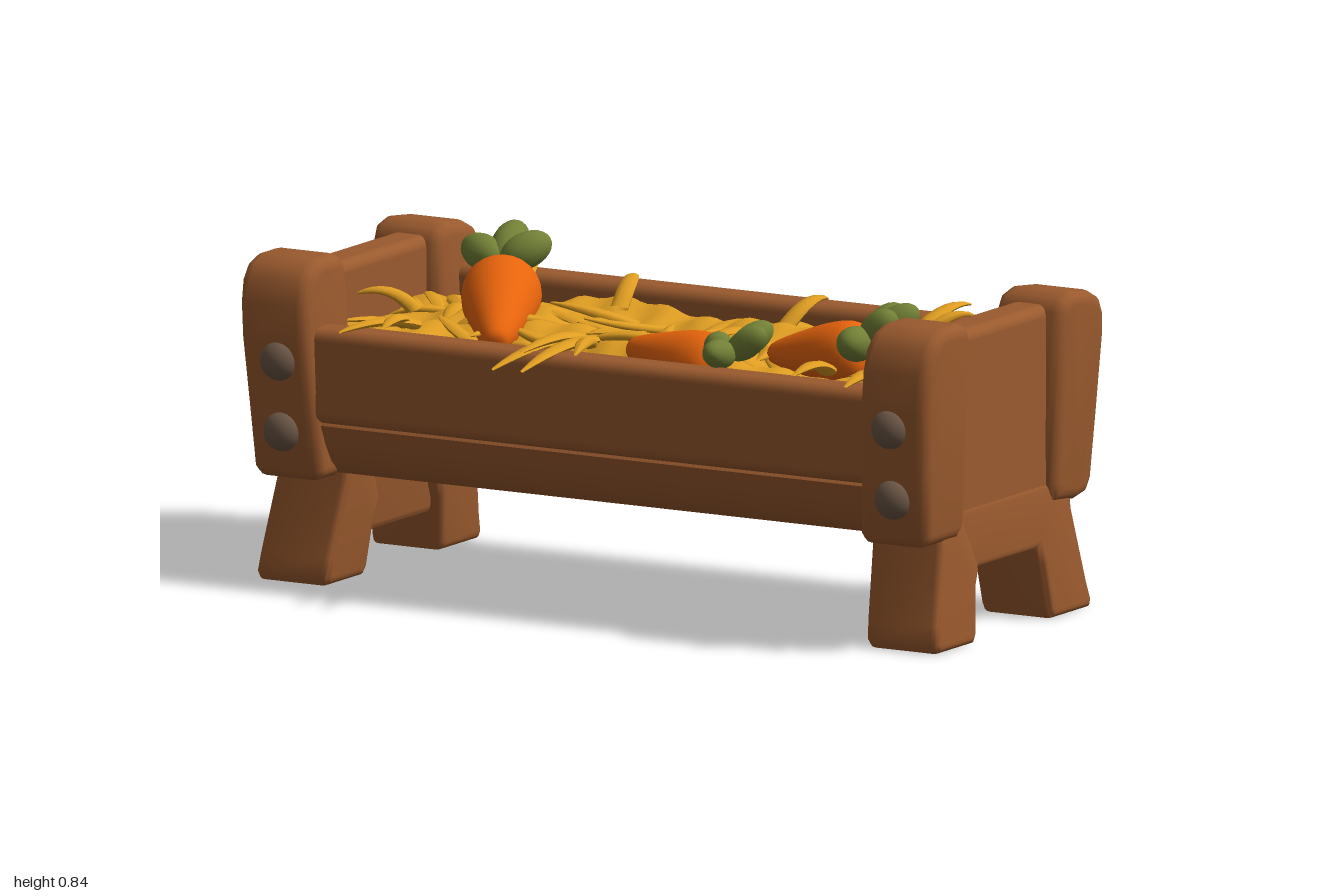
import * as THREE from 'three';
import { mergeGeometries, toCreasedNormals } from 'three/addons/utils/BufferGeometryUtils.js';
import { RoundedBoxGeometry } from 'three/addons/geometries/RoundedBoxGeometry.js';

const mat = (name, color, side = THREE.FrontSide) => {
  const m = new THREE.MeshStandardMaterial({ color, side });
  m.name = name;
  return m;
};
const V = (a) => new THREE.Vector3(...a);

export function createModel() {
  const wood = mat('wood', 0x9a5a2e);
  const straw = mat('straw', 0xdf9d22, THREE.DoubleSide);
  const carrotOrange = mat('carrot orange', 0xe8640c);
  const leafGreen = mat('leaf green', 0x728036);
  const boltMetal = mat('bolt metal', 0x6b5646);

  const root = new THREE.Group();
  root.name = 'feedingTrough';
  const add = (name, geo, material, parent = root) => {
    const m = new THREE.Mesh(geo, material);
    m.name = name;
    parent.add(m);
    return m;
  };

  // Small seeded generator
  let seed = 7;
  const rnd = (a, b) => {
    seed = (seed * 16807) % 2147483647;
    return a + (b - a) * (seed / 2147483647);
  };

  // Rounded slab given by its limits on each axis
  const slab = (name, [x0, x1], [y0, y1], [z0, z1], r = 0.03) => {
    const g = new RoundedBoxGeometry(x1 - x0, y1 - y0, z1 - z0, 3, r);
    return add(name, g.translate((x0 + x1) / 2, (y0 + y1) / 2, (z0 + z1) / 2), wood);
  };

  // Bevelled side profile of [z, y] points, extruded along x; lean shifts x with height
  const profile = (pts, x0, x1, bevel, lean = () => 0) => {
    const shape = new THREE.Shape(pts.map(([z, y]) => new THREE.Vector2(-z, y)));
    const g = new THREE.ExtrudeGeometry(shape, {
      depth: x1 - x0 - 2 * bevel, bevelEnabled: true, bevelThickness: bevel,
      bevelSize: bevel, bevelOffset: -bevel, bevelSegments: 4, steps: 1,
    });
    g.rotateY(Math.PI / 2).translate(x0 + bevel, 0, 0);
    const p = g.attributes.position;
    for (let i = 0; i < p.count; i++) p.setX(i, p.getX(i) + lean(p.getY(i)));
    return toCreasedNormals(g, 0.9);
  };

  // Corner posts, splayed legs, crossbars, end boards and bolts
  const frontPost = [[0.215, 0.27], [0.36, 0.27], [0.38, 0.29], [0.395, 0.45], [0.412, 0.62], [0.41, 0.71],
    [0.395, 0.77], [0.365, 0.805], [0.32, 0.82], [0.24, 0.82], [0.212, 0.81], [0.198, 0.785], [0.19, 0.55], [0.182, 0.35], [0.19, 0.29]];
  const backPost = [[-0.25, 0.285], [-0.234, 0.33], [-0.237, 0.765], [-0.255, 0.8], [-0.3, 0.812], [-0.385, 0.802],
    [-0.43, 0.78], [-0.452, 0.74], [-0.456, 0.68], [-0.444, 0.5], [-0.43, 0.32], [-0.41, 0.285], [-0.36, 0.275]];
  const frontLeg = [[0.33, 0], [0.345, 0.02], [0.335, 0.07], [0.285, 0.25], [0.28, 0.34], [0.18, 0.34], [0.11, 0.2],
    [0.11, 0.175], [0.127, 0.14], [0.145, 0.02], [0.16, 0]];
  const backLeg = [[-0.4, 0], [-0.22, 0], [-0.21, 0.02], [-0.192, 0.14], [-0.175, 0.175], [-0.175, 0.2], [-0.25, 0.34],
    [-0.35, 0.34], [-0.35, 0.26], [-0.395, 0.07], [-0.41, 0.02]];
  for (const s of [1, -1]) {
    const side = s > 0 ? 'left' : 'right';
    const span = (a, b) => (s > 0 ? [a, b] : [-b, -a]);
    const postLean = (y) => s * (y - 0.55) * 0.055;
    const legLean = (y) => -s * y * 0.09;
    add(side + 'FrontPost', profile(frontPost, ...span(0.787, 0.987), 0.032, postLean), wood);
    add(side + 'BackPost', profile(backPost, ...span(0.787, 0.987), 0.032, postLean), wood);
    add(side + 'FrontLeg', profile(frontLeg, ...span(0.776, 0.985), 0.02, legLean), wood);
    add(side + 'BackLeg', profile(backLeg, ...span(0.776, 0.985), 0.02, legLean), wood);
    const low = s > 0 ? 0.18 : 0.095;
    const bar = [[0.18, low], [0.22, 0.25], [0.22, 0.34], [-0.28, 0.34], [-0.28, 0.25], [-0.24, low]];
    add(side + 'Crossbar', profile(bar.reverse(), ...span(0.81, 0.984), 0.02, legLean), wood);
    slab(side + 'EndBoard', span(0.835, 0.95), [0.3, 0.783], [-0.28, 0.25]);

    for (const [y, zf, zb] of [[0.57, 0.4, -0.445], [0.39, 0.385, -0.432]])
      for (const z of [zf, zb]) {
        const bolt = add(side + 'Bolt', new THREE.SphereGeometry(0.05, 20, 14), boltMetal);
        bolt.scale.z = 0.8;
        bolt.position.set(s * 0.88, y, z);
      }
  }

  // Long planks over a hull that narrows to its underside
  slab('frontPlank', [-0.84, 0.84], [0.415, 0.655], [0.27, 0.38]);
  slab('backPlank', [-0.84, 0.84], [0.42, 0.70], [-0.43, -0.325]);
  const hull = [[0.24, 0.27], [0.285, 0.28], [0.325, 0.315], [0.352, 0.365], [0.366, 0.41], [0.35, 0.43],
    [-0.4, 0.43], [-0.42, 0.41], [-0.405, 0.365], [-0.375, 0.315], [-0.34, 0.28], [-0.3, 0.27]];
  add('hull', profile(hull.reverse(), -0.84, 0.84, 0.012), wood);

  // Lumpy straw bed
  const heap = (x, z) => 0.642 + 0.014 * Math.sin(9 * x + 4 * z) + 0.014 * Math.sin(17 * z - 6 * x)
    + 0.012 * Math.sin(31 * x + 13 * z) * Math.sin(23 * z - 19 * x)
    - 0.03 * THREE.MathUtils.smoothstep(z, 0.05, 0.27);
  const bed = new THREE.PlaneGeometry(1.7, 0.63, 85, 32).rotateX(-Math.PI / 2).translate(0, 0, -0.025);
  const bp = bed.attributes.position;
  for (let i = 0; i < bp.count; i++) bp.setY(i, heap(bp.getX(i), bp.getZ(i)));
  bed.computeVertexNormals();
  add('strawBed', bed, straw);

  // Tapered, curved and flattened straw stalk
  const stalk = (a, b, c, r) => {
    const curve = new THREE.QuadraticBezierCurve3(V(a), V(b), V(c));
    const seg = 8, g = new THREE.TubeGeometry(curve, seg, r, 8);
    const p = g.attributes.position, v = new THREE.Vector3();
    for (let i = 0; i < p.count; i++) {
      const t = Math.floor(i / 9) / seg, o = curve.getPointAt(t);
      v.fromBufferAttribute(p, i).sub(o).multiplyScalar(1.02 - 0.8 * t ** 3);
      v.y *= 0.5;
      v.add(o);
      p.setXYZ(i, v.x, v.y, v.z);
    }
    g.computeVertexNormals();
    return g;
  };
  const stalks = [];
  for (let i = 0; i < 75; i++) {
    const x = rnd(-0.76, 0.76), z = rnd(-0.27, 0.21), ang = rnd(0, 6.283), len = rnd(0.12, 0.24);
    const at = (d, h) => {
      const px = THREE.MathUtils.clamp(x + Math.cos(ang + d * 3) * d, -0.82, 0.82);
      const pz = THREE.MathUtils.clamp(z + Math.sin(ang + d * 3) * d, -0.31, 0.26);
      return [px, heap(px, pz) + h, pz];
    };
    stalks.push(stalk(at(0, -0.015), at(len / 2, rnd(0, 0.025)), at(len, rnd(-0.01, 0.02)), rnd(0.016, 0.026)));
  }
  // Stalks hanging over the rims: start, end [x, y, z]
  const overhang = [
    [[-0.17, 0.65, 0.13], [-0.22, 0.625, 0.475]], [[-0.14, 0.65, 0.13], [-0.13, 0.63, 0.485]],
    [[-0.12, 0.65, 0.18], [-0.05, 0.66, 0.36]], [[-0.18, 0.65, 0.12], [-0.18, 0.66, 0.4]],
    [[-0.62, 0.65, 0.18], [-0.7, 0.66, 0.41]], [[-0.65, 0.65, 0.18], [-0.61, 0.67, 0.35]],
    [[0.57, 0.65, 0.18], [0.58, 0.67, 0.36]], [[0.71, 0.65, 0.18], [0.74, 0.66, 0.38]],
    [[-0.58, 0.66, -0.25], [-0.63, 0.71, -0.42]], [[-0.27, 0.66, -0.22], [-0.32, 0.71, -0.38]],
    [[0.21, 0.66, -0.22], [0.24, 0.71, -0.37]], [[0.57, 0.66, -0.22], [0.61, 0.72, -0.44]],
    [[0.58, 0.66, -0.25], [0.67, 0.71, -0.36]], [[0.7, 0.66, -0.02], [0.83, 0.74, -0.12]],
    [[0.68, 0.66, -0.05], [0.81, 0.73, 0.05]], [[-0.7, 0.66, 0.05], [-0.82, 0.7, 0.12]],
  ];
  for (const [a, c] of overhang)
    stalks.push(stalk(a, [(a[0] + c[0]) / 2 + 0.015, Math.max(a[1], c[1]) + 0.03, (a[2] + c[2]) / 2], c, 0.024));
  add('strawStalks', mergeGeometries(stalks), straw);

  // Ellipsoid leaf stretched between two points
  const up = new THREE.Vector3(0, 1, 0);
  const leaf = (a, b, r, parent) => {
    const d = V(b).sub(V(a)), m = add('leaf', new THREE.SphereGeometry(1, 18, 12), leafGreen, parent);
    m.scale.set(r, d.length() / 2, r);
    m.quaternion.setFromUnitVectors(up, d.normalize());
    m.position.copy(V(a).add(V(b)).multiplyScalar(0.5));
  };
  // Carrot from tip to crown, with plump leaves fanning out from the top knot to the given ends
  const rootProfile = [[0, 0], [0.26, 0.015], [0.46, 0.12], [0.72, 0.36], [0.93, 0.6], [1, 0.76], [0.95, 0.88], [0.7, 0.97], [0.3, 1], [0, 0.99]];
  const carrot = (name, tip, crown, r, knot, ends, leafR) => {
    const group = new THREE.Group();
    group.name = name;
    root.add(group);
    const d = V(crown).sub(V(tip)), len = d.length();
    const line = new THREE.SplineCurve(rootProfile.map(([x, y]) => new THREE.Vector2(x * r, y * len)));
    const pts = line.getPoints(28).map((p) => new THREE.Vector2(Math.max(0, p.x), p.y));
    const body = add('carrotRoot', new THREE.LatheGeometry(pts, 24), carrotOrange, group);
    body.quaternion.setFromUnitVectors(up, d.normalize());
    body.position.set(...tip);
    for (const end of ends) leaf(knot, end, leafR, group);
  };
  carrot('rightCarrot', [-0.385, 0.625, 0.18], [-0.56, 0.71, -0.145], 0.1, [-0.575, 0.755, -0.16],
    [[-0.705, 0.785, -0.21], [-0.615, 0.82, -0.315], [-0.485, 0.81, -0.25]], 0.046);
  carrot('middleCarrot', [-0.01, 0.65, 0.165], [0.285, 0.625, 0.195], 0.085, [0.31, 0.67, 0.22],
    [[0.255, 0.715, 0.235], [0.375, 0.74, 0.125], [0.325, 0.7, 0.345], [0.42, 0.745, 0.24]], 0.037);
  carrot('leftCarrot', [0.33, 0.65, 0.055], [0.625, 0.685, 0.075], 0.08, [0.64, 0.71, 0.11],
    [[0.69, 0.8, 0.02], [0.765, 0.81, 0.075], [0.655, 0.74, 0.24], [0.74, 0.805, 0.16]], 0.045);

  return root;
}
